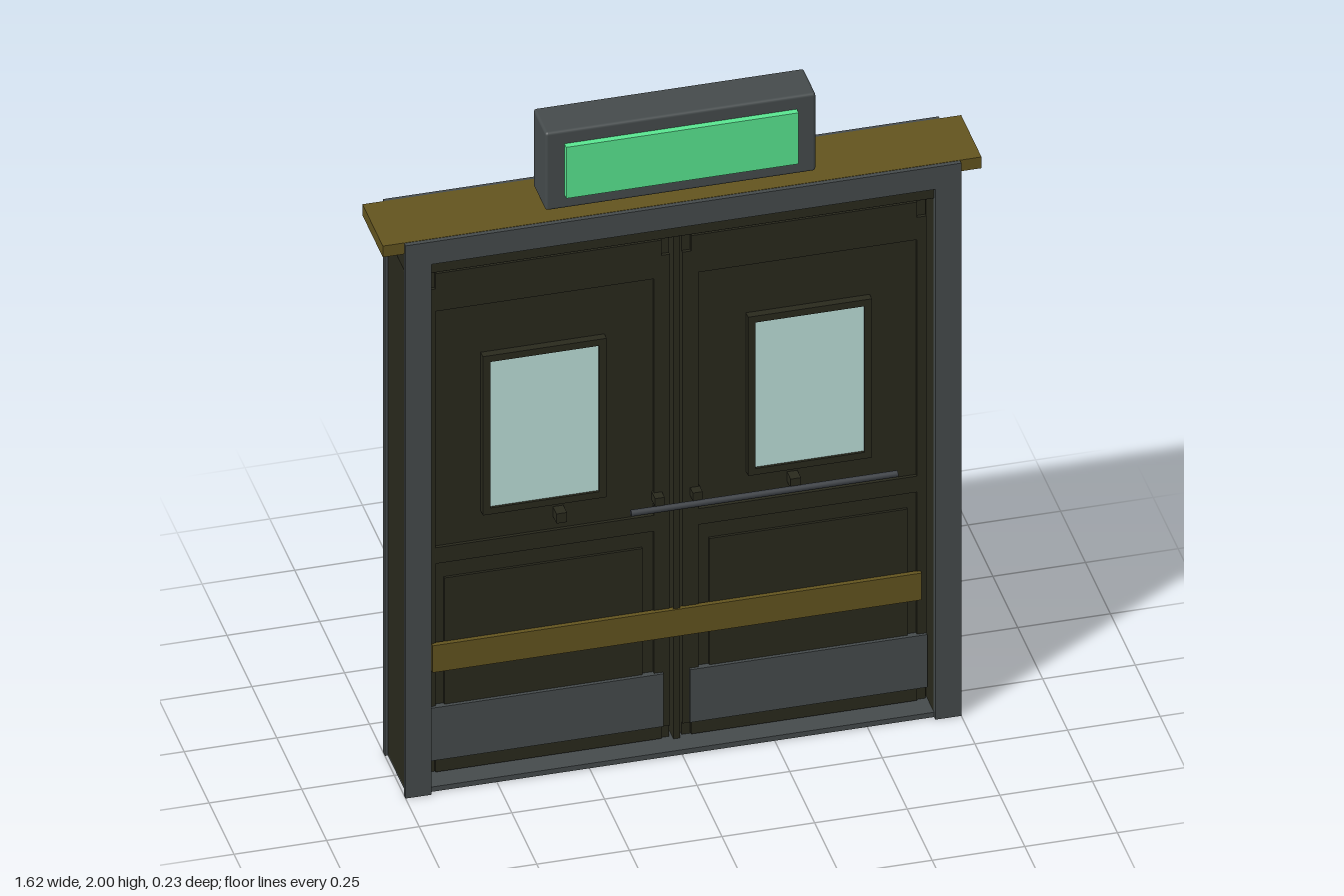
import * as THREE from 'three';
import { RoundedBoxGeometry } from 'three/addons/geometries/RoundedBoxGeometry.js';

const mat = (name, color) => {
  const m = new THREE.MeshStandardMaterial({ color });
  m.name = name;
  return m;
};

export function createModel() {
  const steel = mat('grey steel', 0x454b4c);
  const dark = mat('dark bronze', 0x29291d);
  const brass = mat('aged brass', 0x63541f);
  const green = mat('sign green', 0x5ae892);
  const glass = mat('pale glass', 0xbfe2dc);
  const iron = mat('dark iron', 0x3a3e43);

  const root = new THREE.Group();
  root.name = 'doubleDoor';

  // Box given by its limits on each axis
  const box = (parent, name, m, x0, x1, y0, y1, z0, z1, radius = 0) => {
    const s = [Math.abs(x1 - x0), y1 - y0, Math.abs(z1 - z0)];
    const geo = radius ? new RoundedBoxGeometry(...s, 2, radius) : new THREE.BoxGeometry(...s);
    const mesh = new THREE.Mesh(geo, m);
    mesh.name = name;
    mesh.position.set((x0 + x1) / 2, (y0 + y1) / 2, (z0 + z1) / 2);
    parent.add(mesh);
  };

  // Rectangular ring lying in the xy plane
  const ring = (parent, name, m, [x0, x1, y0, y1], w, z0, z1) => {
    const rect = (T, a, b, c, d) => {
      const p = new T();
      p.moveTo(a, c); p.lineTo(b, c); p.lineTo(b, d); p.lineTo(a, d); p.closePath();
      return p;
    };
    const shape = rect(THREE.Shape, x0, x1, y0, y1);
    shape.holes.push(rect(THREE.Path, x0 + w, x1 - w, y0 + w, y1 - w));
    const geo = new THREE.ExtrudeGeometry(shape, { depth: z1 - z0, bevelEnabled: false });
    const mesh = new THREE.Mesh(geo, m);
    mesh.name = name;
    mesh.position.z = z0;
    parent.add(mesh);
  };

  // Frame: jambs, header, threshold and brass cap
  const frame = new THREE.Group();
  frame.name = 'frame';
  root.add(frame);
  for (const s of [-1, 1]) {
    box(frame, 'jamb', dark, s * 0.68, s * 0.742, 0.002, 1.62, -0.097, 0.097, 0.004);
    box(frame, 'doorStop', dark, s * 0.67, s * 0.685, 0.012, 1.58, -0.02, 0.02);
  }
  box(frame, 'header', dark, -0.742, 0.742, 1.62, 1.696, -0.097, 0.097, 0.004);
  box(frame, 'threshold', steel, -0.742, 0.742, 0, 0.015, -0.1, 0.1);
  box(frame, 'brassCap', brass, -0.808, 0.808, 1.696, 1.731, -0.104, 0.1);

  // Casing boards on both faces
  for (const [z0, z1] of [[0.095, 0.113], [-0.115, -0.095]]) {
    for (const s of [-1, 1]) box(frame, 'casingPost', steel, s * 0.68, s * 0.75, 0, 1.66, z0, z1);
    box(frame, 'casingHead', steel, -0.75, 0.75, 1.66, 1.73, z0, z1);
  }

  // Centre post between the leaves
  box(root, 'centrePost', dark, -0.009, 0.009, 0.01, 1.61, -0.045, 0.045);

  // Two mirrored leaves
  for (const s of [-1, 1]) {
    const leaf = new THREE.Group();
    leaf.name = s > 0 ? 'leftLeaf' : 'rightLeaf';
    root.add(leaf);
    const span = (a, b) => (s > 0 ? [a, b] : [-b, -a]);
    box(leaf, 'leafCore', dark, ...span(0.017, 0.676), 0.014, 1.58, -0.03, 0.03);
    // Both faces: f is the facing direction
    for (const f of [1, -1]) {
      const relief = (name, m, a, b, y0, y1, top) =>
        box(leaf, name, m, ...span(a, b), y0, y1, f * 0.028, f * top);
      relief('innerStile', dark, 0.017, 0.06, 0.055, 1.53, 0.039);
      relief('outerStile', dark, 0.65, 0.676, 0.055, 1.53, 0.039);
      relief('topRail', dark, 0.04, 0.65, 1.51, 1.58, 0.042);
      relief('upperRail', dark, 0.06, 0.65, 1.46, 1.51, 0.039);
      relief('lockRail', dark, 0.06, 0.65, 0.67, 0.72, 0.039);
      relief('bottomRail', dark, 0.04, 0.65, 0.02, 0.2, 0.042);
      relief('lowerPanel', dark, 0.09, 0.625, 0.22, 0.62, 0.037);
      relief('kickPlate', steel, 0.036, 0.676, 0.06, 0.225, 0.047);
      relief('knob', dark, 0.302, 0.33, 0.758, 0.788, 0.066);
      relief('latch', dark, 0.038, 0.064, 0.765, 0.79, 0.066);
    }
    // Window on the front face
    ring(leaf, 'windowFrame', dark, [...span(0.191, 0.525), 0.808, 1.305], 0.02, 0.028, 0.052);
    box(leaf, 'windowPane', glass, ...span(0.208, 0.508), 0.823, 1.29, 0.028, 0.045);
  }

  // Brass rub rails and push bars on both faces
  for (const f of [1, -1]) {
    box(root, 'rubRail', brass, -0.66, 0.66, 0.338, 0.422, f * 0.036, f * 0.05);
    const bar = new THREE.Mesh(new THREE.CylinderGeometry(0.009, 0.009, 0.72, 12).rotateZ(Math.PI / 2), iron);
    bar.name = 'pushBar';
    bar.position.set(0.23, 0.757, f * 0.068);
    root.add(bar);
    for (const x of [0.05, 0.316])
      box(root, 'barMount', iron, x - 0.007, x + 0.007, 0.751, 0.763, f * 0.028, f * 0.068);
  }

  // Illuminated sign box above the door
  box(root, 'signBox', steel, -0.366, 0.364, 1.757, 2, -0.035, 0.09, 0.008);
  box(root, 'signFace', green, -0.315, 0.312, 1.8, 1.96, 0.088, 0.108);

  return root;
}
